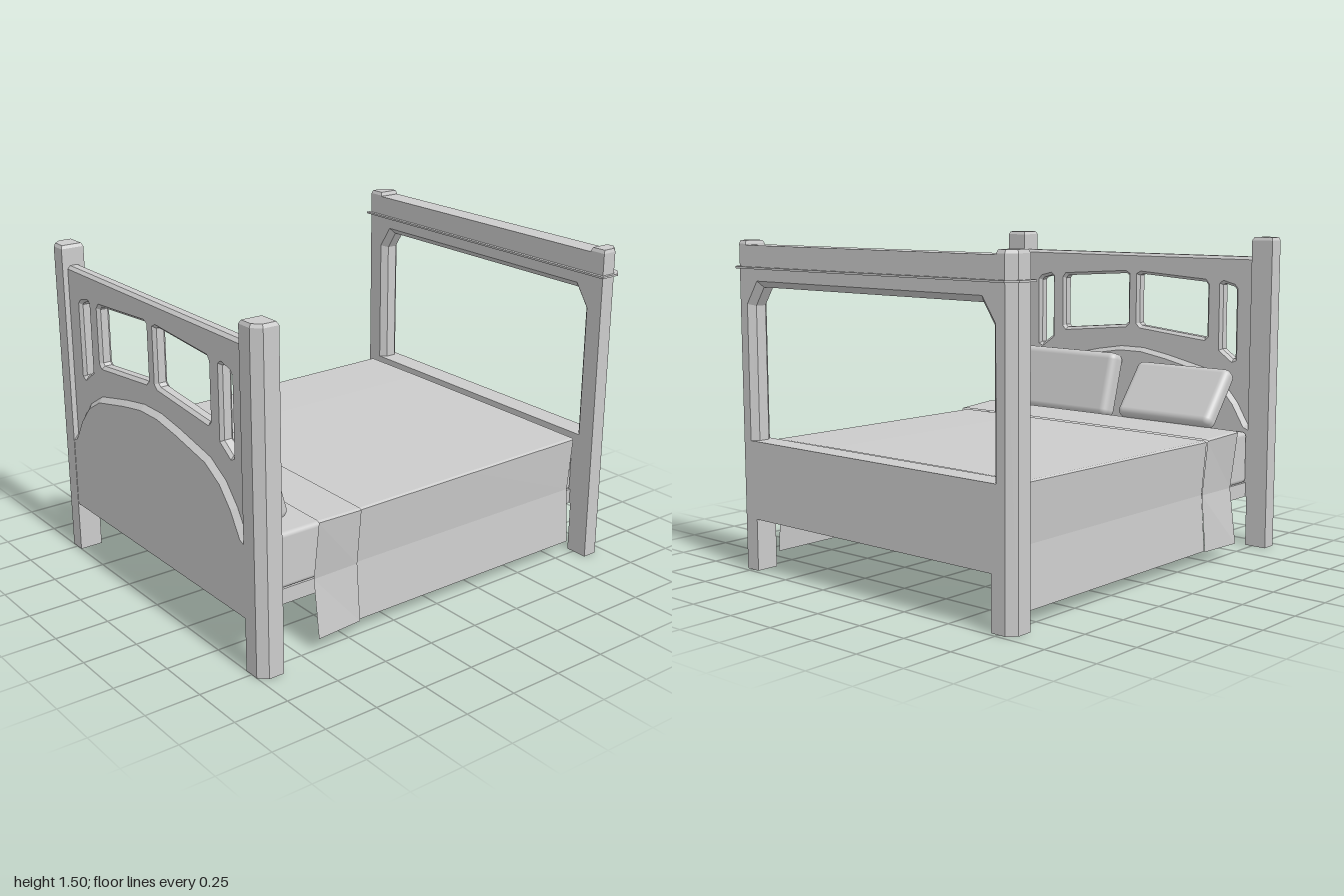
import * as THREE from 'three';
import { RoundedBoxGeometry } from 'three/addons/geometries/RoundedBoxGeometry.js';

const grey = new THREE.MeshStandardMaterial({ color: 0xcccccc });
const cloth = new THREE.MeshStandardMaterial({ color: 0xcccccc, side: THREE.DoubleSide });

export function createModel() {
  const bed = new THREE.Group();

  const add = (name, geometry, material = grey) => {
    const mesh = new THREE.Mesh(geometry, material);
    mesh.name = name;
    bed.add(mesh);
    return mesh;
  };
  const polygon = (pts) => new THREE.Shape(pts.map(([a, b]) => new THREE.Vector2(a, b)));
  const box = (name, x0, x1, y0, y1, z0, z1) =>
    add(name, new THREE.BoxGeometry(x1 - x0, y1 - y0, z1 - z0)
      .translate((x0 + x1) / 2, (y0 + y1) / 2, (z0 + z1) / 2));

  // Upright prism from an outline in (x, z); its top can shrink to make a cap
  const prism = (name, pts, y0, y1, shrink = 0) => {
    const g = new THREE.ExtrudeGeometry(polygon(pts.map(([x, z]) => [x, -z])),
      { depth: y1 - y0, bevelEnabled: false });
    g.rotateX(-Math.PI / 2).translate(0, y0, 0);
    if (shrink) {
      g.computeBoundingBox();
      const c = g.boundingBox.getCenter(new THREE.Vector3());
      const p = g.attributes.position;
      for (let i = 0; i < p.count; i++) {
        if (p.getY(i) < y1 - 1e-4) continue;
        p.setX(i, c.x + (p.getX(i) - c.x) * (1 - shrink));
        p.setZ(i, c.z + (p.getZ(i) - c.z) * (1 - shrink));
      }
      g.computeVertexNormals();
    }
    return add(name, g);
  };

  // Board standing across the bed, outlined in (z, y), with bevelled edges
  const board = (name, shape, x0, x1, bevel) =>
    add(name, new THREE.ExtrudeGeometry(shape, {
      depth: x1 - x0 - 2 * bevel, bevelThickness: bevel, bevelSize: bevel,
      bevelOffset: -bevel, bevelSegments: 1,
    }).rotateY(Math.PI / 2).translate(x0 + bevel, 0, 0));

  // Mirrors half an outline across z = 0
  const mirrored = (half) => [...half, ...half.map(([z, y]) => [-z, y]).reverse()];

  // Posts with a chamfered outer corner and a low cap
  const post = (name, xIn, xOut, side, zIn) => {
    const c = 0.037 * Math.sign(xIn - xOut);
    const pts = [[xIn, zIn], [xIn, 0.823], [xOut + c, 0.823], [xOut, 0.786], [xOut, zIn]]
      .map(([x, z]) => [x, z * side]);
    prism(name, pts, 0, 1.485);
    prism(name + 'Cap', pts, 1.485, 1.5, 0.14);
  };
  for (const side of [1, -1]) {
    post('headPost', -0.89, -1, side, 0.712);
    post('footPost', 0.872, 0.98, side, 0.742);
    box('footLegInner', 0.872, 0.98, 0, 0.6, side > 0 ? 0.712 : -0.742, side > 0 ? 0.742 : -0.712);
  }

  // Footboard: solid panel, bevelled open frame, top rail and thin moulding
  box('footPanel', 0.872, 0.98, 0.24, 0.6, -0.72, 0.72);
  board('footFrame', polygon(mirrored([[0.775, 1.45], [0.775, 0.55], [0.712, 0.55],
    [0.712, 1.21], [0.655, 1.295]])), 0.872, 0.98, 0.028);
  box('footTopRail', 0.872, 0.98, 1.36, 1.48, -0.75, 0.75);
  prism('footMoulding', [[0.855, -0.838], [0.955, -0.838], [0.997, -0.796],
    [0.997, 0.796], [0.955, 0.838], [0.855, 0.838]], 1.376, 1.385);

  // Headboard upper part with four slanted windows
  const upper = polygon(mirrored([[0.74, 0.5], [0.74, 1.405]]));
  for (const s of [1, -1]) {
    const windows = [
      [[0.035, 1.05], [0.035, 1.292], [0.05, 1.3], [0.435, 1.275], [0.447, 1.26],
        [0.447, 1.012], [0.435, 1.0], [0.05, 1.037]],
      [[0.535, 0.95], [0.535, 1.265], [0.545, 1.272], [0.6, 1.258], [0.612, 1.245],
        [0.612, 0.91], [0.6, 0.905]],
    ];
    for (const w of windows) {
      upper.holes.push(new THREE.Path(w.map(([z, y]) => new THREE.Vector2(z * s, y))));
    }
  }
  board('headboardWindows', upper, -0.975, -0.912, 0.014);

  // Headboard lower part with an arched, bevelled top
  board('headboardArch', polygon(mirrored([[0.07, 0.93], [0.22, 0.905], [0.45, 0.855],
    [0.56, 0.79], [0.64, 0.7], [0.7, 0.6], [0.75, 0.58], [0.75, 0.3]])), -0.998, -0.892, 0.025);
  box('headPanel', -0.998, -0.892, 0.24, 0.5, -0.72, 0.72);

  // Base and mattress
  box('base', -0.895, 0.875, 0.24, 0.31, -0.705, 0.705);
  add('mattress', new RoundedBoxGeometry(1.77, 0.25, 1.415, 2, 0.02).translate(-0.01, 0.435, 0));

  // Draped cloth: cross-sections at x, with top height, half-widths and shift in z
  const drape = (name, sections) => {
    const pos = [], idx = [];
    sections.forEach(({ x, y, top, mid, low, dz }) => {
      const half = [[low, 0.06], [mid, 0.325], [top, y - 0.006], [top - 0.012, y], [top / 2, y + 0.002]];
      for (const [z, h] of mirrored(half)) pos.push(x, h, z + dz);
    });
    for (let r = 0; r < sections.length - 1; r++) {
      for (let i = 0; i < 9; i++) {
        const a = r * 10 + i, b = a + 10;
        idx.push(a, b, a + 1, b, b + 1, a + 1);
      }
    }
    const g = new THREE.BufferGeometry();
    g.setAttribute('position', new THREE.Float32BufferAttribute(pos, 3));
    g.setIndex(idx);
    const flat = g.toNonIndexed();
    flat.computeVertexNormals();
    return add(name, flat, cloth);
  };
  drape('blanket', [
    { x: -0.45, y: 0.58, top: 0.752, mid: 0.73, low: 0.75, dz: -0.012 },
    { x: 0.2, y: 0.585, top: 0.752, mid: 0.73, low: 0.75, dz: -0.012 },
    { x: 0.835, y: 0.59, top: 0.752, mid: 0.73, low: 0.75, dz: -0.012 },
  ]);
  drape('blanketFold', [
    { x: -0.672, y: 0.6, top: 0.782, mid: 0.745, low: 0.78, dz: -0.01 },
    { x: -0.44, y: 0.588, top: 0.767, mid: 0.74, low: 0.762, dz: -0.01 },
  ]);

  // Pillows leaning on the headboard, thinner towards their rims
  const pillow = (x, y, z, thick, height, width, lean) => {
    const g = new RoundedBoxGeometry(thick, height, width, 3, 0.035);
    const m = add('pillow', g);
    m.position.set(x, y, z);
    m.rotation.z = lean;
  };
  pillow(-0.8, 0.732, 0.33, 0.1, 0.33, 0.605, 0.27);
  pillow(-0.76, 0.727, -0.373, 0.085, 0.315, 0.545, 0.66);

  return bed;
}
